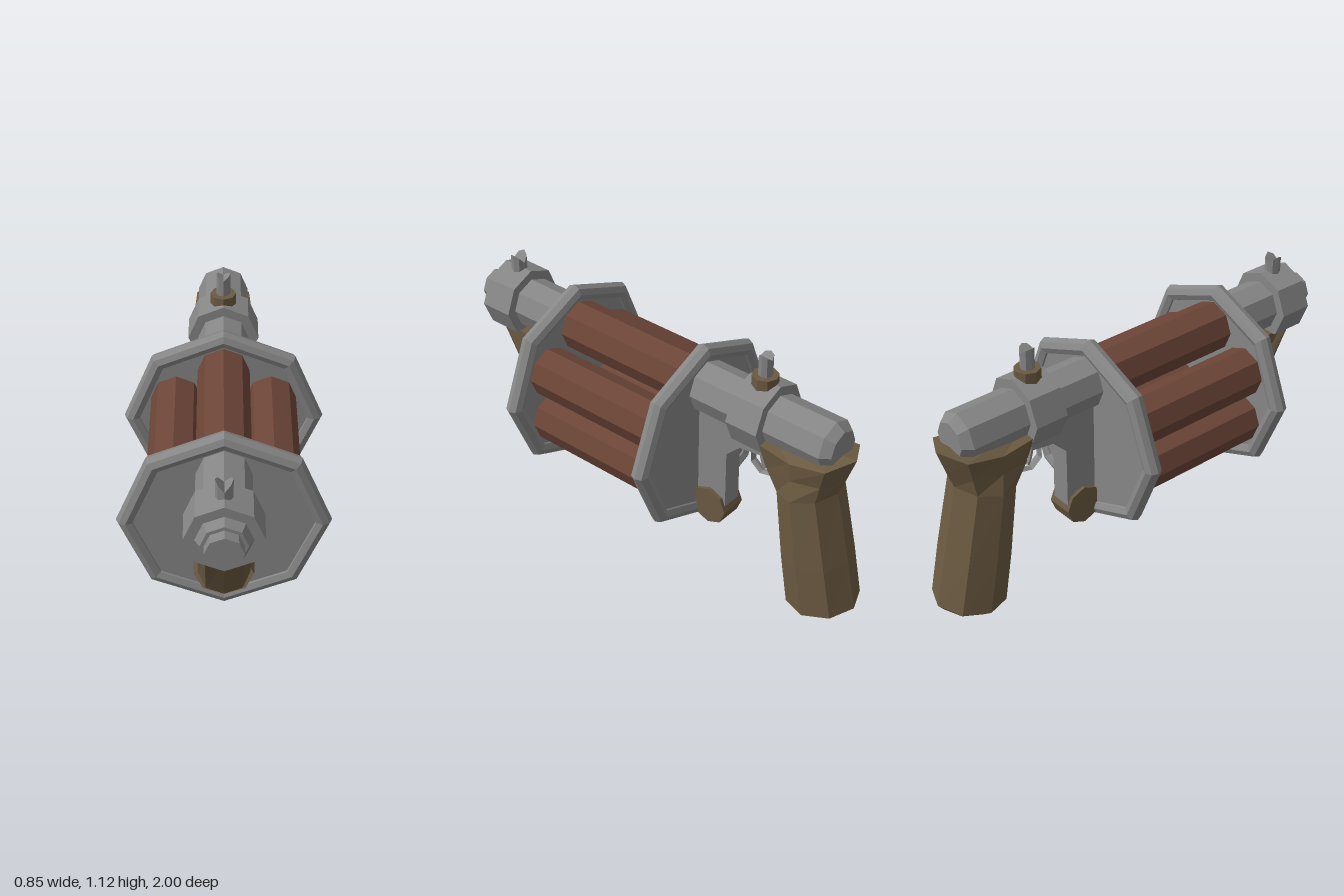
import * as THREE from 'three';

const mat = (color, side = THREE.FrontSide) =>
  new THREE.MeshStandardMaterial({ color, side, flatShading: true });
const grey = mat(0x868686);
const brown = mat(0x6b5a41, THREE.DoubleSide);
const red = mat(0x6c4537);

// Eight-sided bar along z, from z0 (back) to z1 (front)
function barZ(z0, z1, rBack, rFront = rBack) {
  return new THREE.CylinderGeometry(rFront, rBack, z1 - z0, 8)
    .rotateX(Math.PI / 2).translate(0, 0, (z0 + z1) / 2);
}

// Eight-sided skin through rings [zFront, yFront, zRear, yRear, halfWidth, sideDip, roundness]
function skin(rings) {
  const N = 8, pos = [], index = [];
  for (const [zf, yf, zr, yr, w, dip = 0, round = 1] of rings) {
    for (let i = 0; i < N; i++) {
      const a = (i / N) * Math.PI * 2, t = (1 - Math.cos(a)) / 2, s = Math.sin(a);
      const x = w * Math.sign(s) * Math.abs(s) ** round;
      pos.push(x, yf + (yr - yf) * t - dip * s * s, zf + (zr - zf) * t);
    }
  }
  for (let r = 0; r < rings.length - 1; r++) {
    for (let i = 0; i < N; i++) {
      const a = r * N + i, b = r * N + (i + 1) % N;
      index.push(a, b, b + N, a, b + N, a + N);
    }
  }
  const last = (rings.length - 1) * N;
  for (let i = 1; i < N - 1; i++) {
    index.push(0, i + 1, i, last, last + i, last + i + 1);
  }
  const g = new THREE.BufferGeometry();
  g.setAttribute('position', new THREE.Float32BufferAttribute(pos, 3));
  g.setIndex(index);
  const flat = g.toNonIndexed();
  flat.computeVertexNormals();
  return flat;
}

// Small post whose top is cut to a V across x
function notchedPost(r, y0, y1, notch) {
  const h = y1 - y0;
  const g = new THREE.CylinderGeometry(r, r, h, 8);
  const p = g.attributes.position;
  for (let i = 0; i < p.count; i++) {
    if (p.getY(i) > 0) p.setY(i, h / 2 - notch * (1 - Math.abs(p.getX(i)) / r));
  }
  return g.translate(0, y0 + h / 2, 0);
}

export function createModel() {
  const model = new THREE.Group();
  const add = (name, geometry, material, x = 0, y = 0, z = 0) => {
    const m = new THREE.Mesh(geometry, material);
    m.name = name;
    m.position.set(x, y, z);
    model.add(m);
  };
  const axisY = 0.84;

  // Barrel in front of and behind the drum, muzzle and collars
  add('frontBarrel', barZ(0.512, 0.92, 0.11), grey, 0, axisY);
  add('rearBarrel', barZ(-0.84, -0.19, 0.11), grey, 0, axisY);
  add('barrelBackBevel', barZ(-0.88, -0.84, 0.08, 0.11), grey, 0, axisY);
  add('barrelFrontBevel', barZ(0.92, 0.955, 0.11, 0.09), grey, 0, axisY);
  add('muzzle', barZ(0.95, 1.0, 0.075), grey, 0, axisY);
  add('frontCollar', barZ(0.77, 0.92, 0.152), grey, 0, axisY);
  add('rearCollar', barZ(-0.575, -0.425, 0.152), grey, 0, axisY);

  // Drum end plates with rounded rims
  for (const [side, z] of [['front', 0.512], ['rear', -0.19]]) {
    add(side + 'DrumRim', new THREE.TorusGeometry(0.389, 0.038, 8, 8), grey, 0, 0.598, z);
    add(side + 'DrumPlate', barZ(-0.02, 0.02, 0.375), grey, 0, 0.598, z);
  }

  // Six chambers: the top one in line with the barrel, five around the drum
  add('topChamber', barZ(-0.19, 0.512, 0.11), red, 0, axisY);
  for (let i = 1; i < 6; i++) {
    const a = (i / 6) * Math.PI * 2;
    add('chamber', barZ(-0.19, 0.512, 0.108), red, Math.sin(a) * 0.232, 0.587 + Math.cos(a) * 0.232);
  }

  // Sights
  add('frontSight', notchedPost(0.034, 0.95, 1.06, 0.04), grey, 0, 0, 0.84);
  add('rearSightBase', new THREE.CylinderGeometry(0.055, 0.055, 0.07, 8), brown, 0, 0.985, -0.5);
  add('rearSight', notchedPost(0.03, 0.97, 1.115, 0.02), grey, 0, 0, -0.5);

  // Rear grip, flaring around the barrel end
  add('grip', skin([
    [-0.74, 0.0, -0.963, 0.04, 0.1],
    [-0.69, 0.04, -0.997, 0.08, 0.155],
    [-0.655, 0.26, -0.95, 0.3, 0.155],
    [-0.615, 0.57, -0.875, 0.62, 0.145],
    [-0.545, 0.66, -0.905, 0.7, 0.125, 0, 0.6],
    [-0.505, 0.79, -0.945, 0.815, 0.132, 0.035, 0.3],
  ]), brown);

  // Front handle: slanted bar, elbow socket and top bar
  add('frontHandle', skin([
    [0.725, 0.395, 0.6, 0.5, 0.102],
    [0.915, 0.73, 0.755, 0.73, 0.104],
  ]), brown);
  add('frontHandleElbow', skin([
    [0.5, 0.265, 0.5, 0.475, 0.125],
    [0.715, 0.385, 0.625, 0.515, 0.118],
  ]), brown);
  add('frontHandleTopBar', new THREE.BoxGeometry(0.18, 0.05, 0.32), brown, 0, 0.705, 0.67);

  // Rear bracket, outlined in (-z, y) and extruded across x
  const outline = [
    [0.2, 0.27], [0.355, 0.27], [0.355, 0.58], [0.42, 0.645],
    [0.53, 0.66], [0.53, 0.78], [0.2, 0.78],
  ].map(([x, y]) => new THREE.Vector2(x, y));
  const bracket = new THREE.ExtrudeGeometry(new THREE.Shape(outline), { depth: 0.09, bevelEnabled: false });
  add('rearBracket', bracket.translate(0, 0, -0.045).rotateY(Math.PI / 2), grey);
  add('bracketKnob', new THREE.CylinderGeometry(0.088, 0.088, 0.12, 8)
    .rotateZ(Math.PI / 2), brown, 0, 0.278, -0.277);

  // Trigger and its guard
  add('triggerGuard', new THREE.TorusGeometry(0.07, 0.006, 4, 7)
    .scale(1, 1, 3).rotateY(Math.PI / 2), grey, 0, 0.612, -0.523);
  const curve = new THREE.QuadraticBezierCurve3(
    new THREE.Vector3(0, 0.68, -0.5), new THREE.Vector3(0, 0.61, -0.49), new THREE.Vector3(0, 0.565, -0.52));
  add('trigger', new THREE.TubeGeometry(curve, 4, 0.008, 5), grey);

  return model;
}
